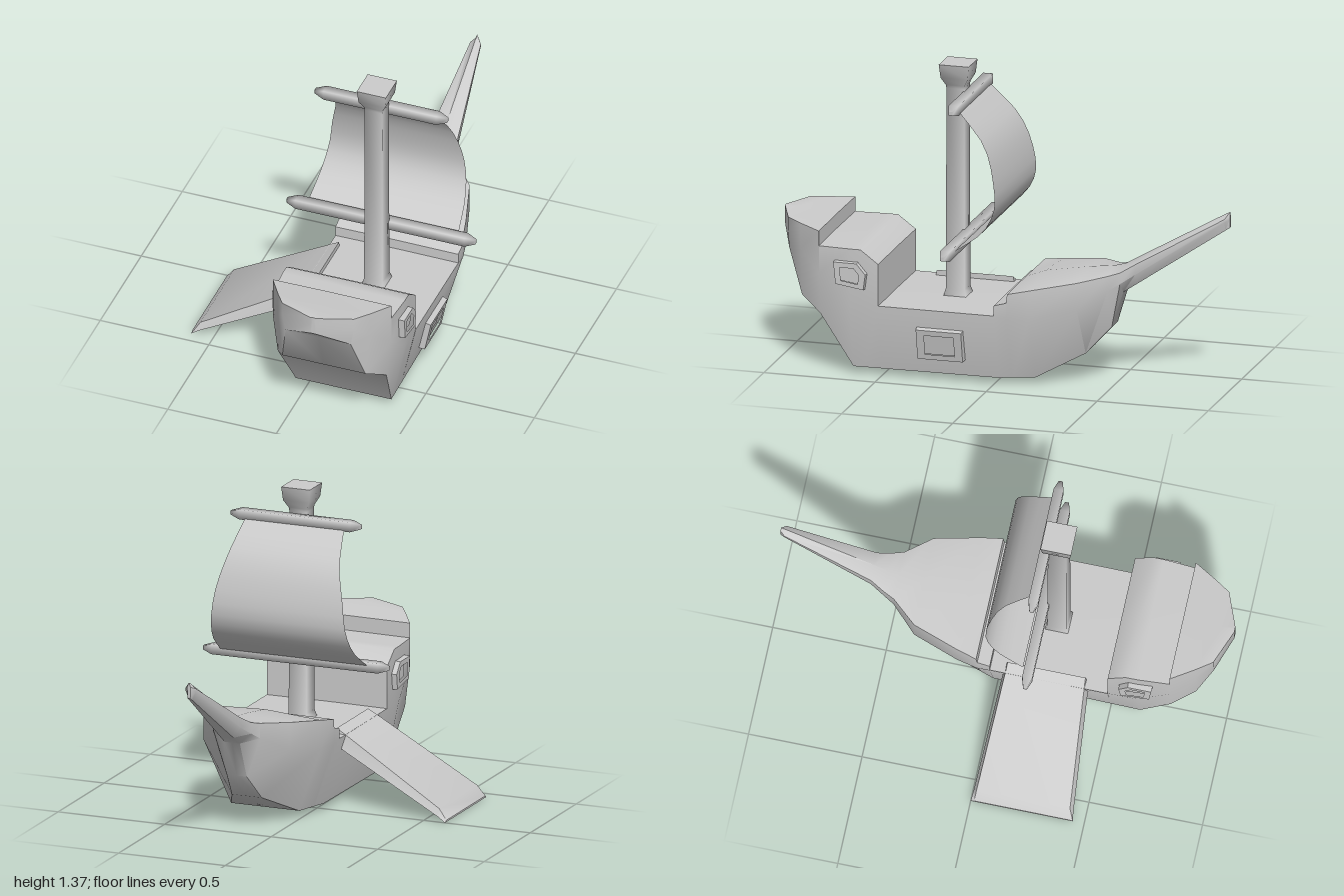
import * as THREE from 'three';
import { toCreasedNormals } from 'three/addons/utils/BufferGeometryUtils.js';

const material = new THREE.MeshStandardMaterial({ color: 0xcccccc });
const thinMaterial = new THREE.MeshStandardMaterial({ color: 0xcccccc, side: THREE.DoubleSide });

function addMesh(parent, name, geometry, mat = material) {
  const mesh = new THREE.Mesh(geometry, mat);
  mesh.name = name;
  parent.add(mesh);
  return mesh;
}

// Skin over rings of points (each clockwise when seen from the first ring), capped at both ends
function loft(rings, crease) {
  const n = rings[0].length, index = [];
  rings.slice(1).forEach((_, i) => {
    for (let j = 0; j < n; j++) {
      const a = i * n + j, b = i * n + (j + 1) % n;
      index.push(a, b, a + n, b, b + n, a + n);
    }
  });
  const last = (rings.length - 1) * n;
  for (let j = 1; j < n - 1; j++) index.push(0, j + 1, j, last, last + j, last + j + 1);
  const g = new THREE.BufferGeometry();
  g.setAttribute('position', new THREE.Float32BufferAttribute(rings.flat(2), 3));
  g.setIndex(index);
  return toCreasedNormals(g, crease);
}

// Value at z on a line of [z, value] points running from stern to bow
function valueAt(line, z) {
  const i = Math.max(1, line.findIndex((p) => p[0] <= z));
  const [z0, v0] = line[i - 1], [z1, v1] = line[i];
  return THREE.MathUtils.mapLinear(z, z0, z1, v0, v1);
}

// Lines of the hull: deck height (with its steps), keel height, half widths, height of the widest part
const deckLine = [
  [1, 0.665], [0.94, 0.66], [0.87, 0.652], [0.77, 0.642], [0.77, 0.576], [0.63, 0.576],
  [0.58, 0.576], [0.5, 0.517], [0.5, 0.33], [-0.02, 0.33], [-0.02, 0.376], [-0.075, 0.392],
  [-0.08, 0.432], [-0.17, 0.467], [-0.37, 0.502], [-0.48, 0.516], [-0.53, 0.53],
  [-0.59, 0.565], [-0.98, 0.79], [-1, 0.8],
];
const keelLine = [
  [1, 0.58], [0.94, 0.52], [0.87, 0.325], [0.77, 0.265], [0.63, 0.03], [-0.17, 0.03],
  [-0.37, 0.13], [-0.48, 0.25], [-0.53, 0.41], [-1, 0.73],
];
const beamLine = [
  [1, 0.012], [0.94, 0.165], [0.87, 0.212], [0.77, 0.273], [0.63, 0.282], [-0.08, 0.283],
  [-0.17, 0.262], [-0.37, 0.203], [-0.48, 0.11], [-0.59, 0.065], [-0.98, 0.024], [-1, 0.008],
];
const floorLine = [
  [1, 0.01], [0.94, 0.15], [0.77, 0.25], [0.63, 0.22], [-0.02, 0.21],
  [-0.17, 0.16], [-0.37, 0.07], [-0.53, 0.036], [-1, 0.006],
];
const sideLine = [
  [1, 0.63], [0.94, 0.6], [0.77, 0.45], [0.63, 0.33], [-0.17, 0.32],
  [-0.37, 0.36], [-0.53, 0.46], [-1, 0.77],
];

function hullRing([z, deck]) {
  const [keel, beam, floor, side] = [keelLine, beamLine, floorLine, sideLine].map((line) => valueAt(line, z));
  const rail = deck - (z < -0.1 ? 0.02 : 0.002);
  const sideY = Math.min(side, rail - 0.005);
  return [
    [0, deck, z], [beam, rail, z], [beam, sideY, z], [floor, keel, z],
    [0, keel, z], [-floor, keel, z], [-beam, sideY, z], [-beam, rail, z],
  ];
}

// Raised frame with a recessed pane, outline in (z, y) about its centre, facing +x
function makeWindow(name, outline, inset) {
  const group = new THREE.Group();
  group.name = name;
  const points = (s) => outline.map(([z, y]) => new THREE.Vector2(-z * s, y * s));
  const shape = new THREE.Shape(points(1));
  shape.holes.push(new THREE.Path(points(inset)));
  const frame = new THREE.ExtrudeGeometry(shape, { depth: 0.06, bevelEnabled: false });
  // Slope the frame inward a little towards its outer face
  const p = frame.attributes.position;
  for (let i = 0; i < p.count; i++) {
    if (p.getZ(i) > 0.05) p.setXY(i, p.getX(i) * 0.94, p.getY(i) * 0.94);
  }
  frame.computeVertexNormals();
  addMesh(group, 'windowFrame', frame.translate(0, 0, -0.04).rotateY(Math.PI / 2));
  const pane = new THREE.ShapeGeometry(new THREE.Shape(points(inset + 0.05)));
  addMesh(group, 'windowPane', pane.translate(0, 0, 0.003).rotateY(Math.PI / 2), thinMaterial);
  return group;
}

// Square spar with pencil-point ends, lying along x
function makeYard(halfLength) {
  const r = 0.031;
  const profile = [
    [0, -halfLength], [0.012, -halfLength], [r, -halfLength + 0.045],
    [r, halfLength - 0.045], [0.012, halfLength], [0, halfLength],
  ].map(([x, y]) => new THREE.Vector2(x, y));
  const g = new THREE.LatheGeometry(profile, 4).rotateY(Math.PI / 4).rotateZ(Math.PI / 2);
  return toCreasedNormals(g, 1.7);
}

export function createModel() {
  const model = new THREE.Group();
  model.name = 'sailingShip';
  const ship = new THREE.Group();
  ship.name = 'ship';
  ship.position.x = 0.17;
  model.add(ship);

  addMesh(ship, 'hull', loft(deckLine.map(hullRing), 0.7));

  // Mast with its flared lookout top
  const mastProfile = [
    [0.075, 0.32], [0.06, 0.36], [0.057, 1.26], [0.06, 1.275],
    [0.086, 1.31], [0.095, 1.37], [0, 1.37],
  ].map(([r, y]) => new THREE.Vector2(r, y));
  const mast = addMesh(ship, 'mast',
    toCreasedNormals(new THREE.LatheGeometry(mastProfile, 4).rotateY(Math.PI / 4), 1.6));
  mast.position.z = 0.225;

  // Yards
  addMesh(ship, 'upperYard', makeYard(0.305)).position.set(0, 1.228, 0.168);
  addMesh(ship, 'lowerYard', makeYard(0.435)).position.set(0, 0.61, 0.168);

  // Billowing sail: half width, y, z
  const sailCurve = new THREE.CatmullRomCurve3([
    [0.232, 1.215, 0.15], [0.262, 1.08, 0.03], [0.297, 0.94, -0.02],
    [0.315, 0.81, -0.03], [0.33, 0.71, 0.02], [0.345, 0.62, 0.14],
  ].map((p) => new THREE.Vector3(...p)));
  const sail = new THREE.PlaneGeometry(2, 1, 1, 12);
  const sp = sail.attributes.position;
  for (let i = 0; i < sp.count; i++) {
    const c = sailCurve.getPoint(0.5 - sp.getY(i));
    sp.setXYZ(i, c.x * sp.getX(i), c.y, c.z);
  }
  sail.computeVertexNormals();
  addMesh(ship, 'sail', sail, thinMaterial);

  // Stern windows, one each side
  const sternOutline = [[0.075, 0.06], [-0.035, 0.06], [-0.078, 0.01], [-0.068, -0.063], [0.065, -0.043]];
  for (const side of [1, -1]) {
    const w = makeWindow(side > 0 ? 'leftSternWindow' : 'rightSternWindow', sternOutline, 0.6);
    w.position.set(side * 0.285, 0.46, 0.625);
    w.scale.x = side;
    ship.add(w);
  }

  // Large hatch in the left side
  const hatch = makeWindow('sideHatch', [[0.108, 0.074], [-0.108, 0.074], [-0.108, -0.074], [0.108, -0.074]], 0.65);
  hatch.position.set(0.255, 0.173, 0.228);
  hatch.rotation.z = -0.2;
  ship.add(hatch);

  // Gangplank let down on the right side: x, top y, bottom y, z from, z to
  const plank = [
    [-0.07, 0.352, 0.28, 0.035, 0.408],
    [-0.10, 0.335, 0.265, 0.034, 0.41],
    [-0.565, 0.055, 0.022, 0.004, 0.445],
    [-0.60, 0.008, 0.0, 0.0, 0.45],
  ].map(([x, top, bottom, z0, z1]) => [
    [x, top, z1 - 0.015], [x, top, z0 + 0.015], [x, bottom, z0], [x, bottom, z1],
  ]);
  addMesh(model, 'gangplank', loft(plank, 0.6));

  return model;
}
